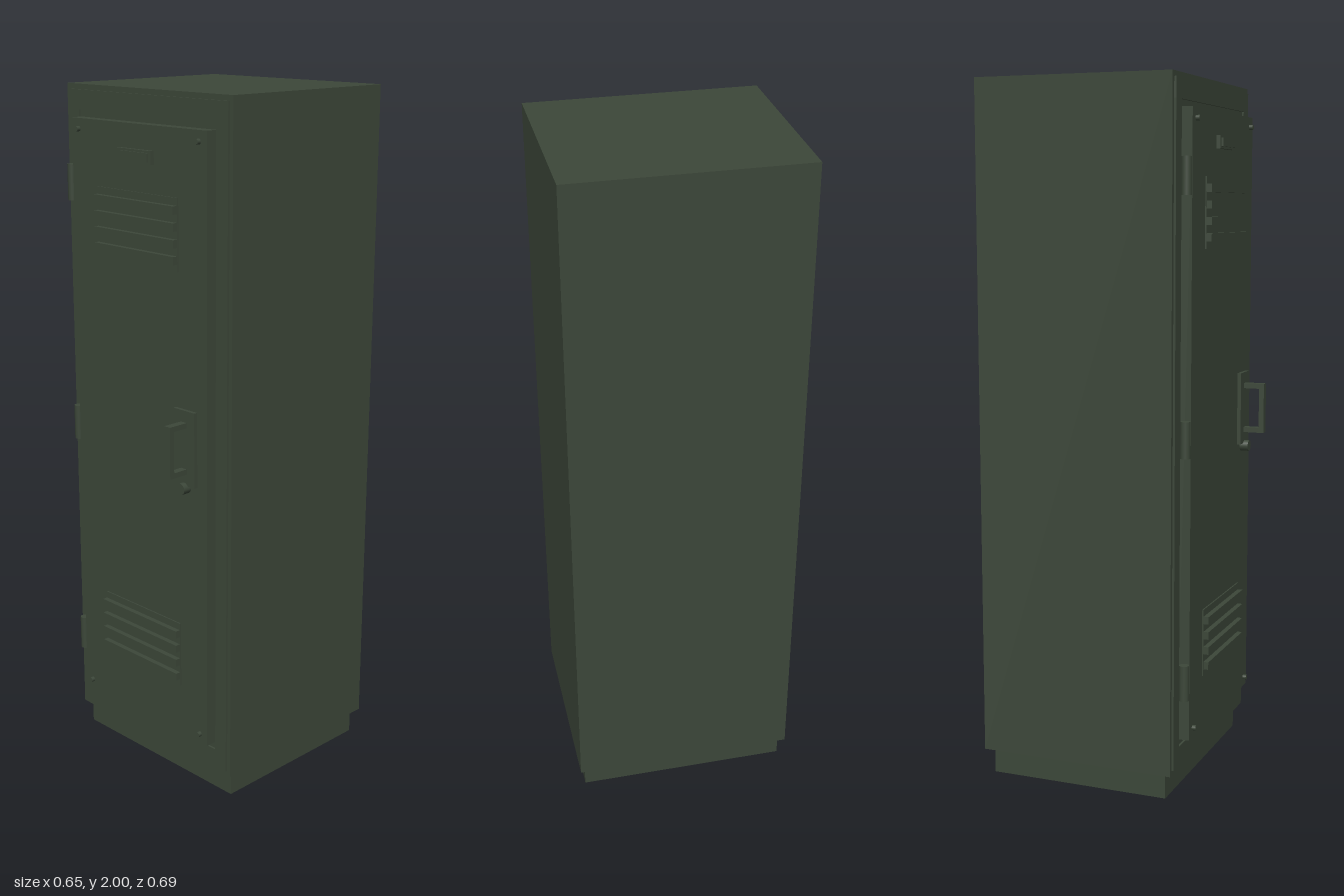
import * as THREE from 'three';

export function createModel() {
  const model = new THREE.Group();
  const paint = new THREE.MeshStandardMaterial({ color: 0x3c4739 });
  paint.name = 'dark green paint';

  const add = (name, geometry, x, y, z, parent = model) => {
    const mesh = new THREE.Mesh(geometry, paint);
    mesh.name = name;
    mesh.position.set(x, y, z);
    parent.add(mesh);
    return mesh;
  };
  // Box given by its limits on each axis
  const box = (name, x0, x1, y0, y1, z0, z1, parent) =>
    add(name, new THREE.BoxGeometry(x1 - x0, y1 - y0, z1 - z0),
      (x0 + x1) / 2, (y0 + y1) / 2, (z0 + z1) / 2, parent);
  // Short cylinder pointing forward
  const stud = (name, r, x, y, z0, z1, parent) =>
    add(name, new THREE.CylinderGeometry(r, r, z1 - z0, 12).rotateX(Math.PI / 2),
      x, y, (z0 + z1) / 2, parent);
  const group = (name) => {
    const g = new THREE.Group();
    g.name = name;
    model.add(g);
    return g;
  };

  // Cabinet and recessed plinth
  box('cabinet', -0.327, 0.327, 0.072, 2, -0.345, 0.235);
  box('plinth', -0.311, 0.311, 0, 0.072, -0.32, 0.215);

  // Raised frame around the door
  const frame = group('doorFrame');
  box('frameTop', -0.315, 0.315, 1.93, 1.985, 0.234, 0.241, frame);
  box('frameBottom', -0.315, 0.315, 0.087, 0.142, 0.234, 0.241, frame);
  for (const [name, x] of [['frameLeft', 0.2935], ['frameRight', -0.2935]]) {
    box(name, x - 0.0215, x + 0.0215, 0.142, 1.93, 0.234, 0.241, frame);
  }

  // Door with corner rivets
  const door = group('door');
  box('doorPanel', -0.268, 0.268, 0.163, 1.911, 0.234, 0.27, door);
  for (const x of [-0.239, 0.239]) {
    for (const y of [0.192, 1.882]) stud('rivet', 0.0075, x, y, 0.269, 0.281, door);
  }

  // Hinges on the right edge
  for (const y of [0.336, 1.022, 1.73]) {
    add('hinge', new THREE.CylinderGeometry(0.0145, 0.0145, 0.102, 10), -0.284, y, 0.26);
  }

  // Louvred vents
  for (const [name, y] of [['upperVent', 1.633], ['lowerVent', 0.417]]) {
    const vent = group(name);
    box('ventPlate', -0.161, 0.161, y - 0.098, y + 0.098, 0.269, 0.274, vent);
    for (let i = 0; i < 4; i++) {
      const sy = y + (i - 1.5) * 0.0445;
      box('slat', -0.16, 0.16, sy - 0.011, sy + 0.011, 0.273, 0.289, vent);
    }
  }

  // Label holder
  const label = group('labelHolder');
  box('labelPlate', -0.068, 0.068, 1.809, 1.845, 0.269, 0.281, label);
  box('labelFace', -0.057, 0.057, 1.815, 1.839, 0.28, 0.286, label);

  // Handle: back plate, pull and lock
  const handle = group('handle');
  box('handlePlate', 0.148, 0.23, 0.945, 1.16, 0.269, 0.281, handle);
  box('grip', 0.178, 0.2, 0.979, 1.127, 0.328, 0.343, handle);
  for (const y of [0.979, 1.112]) box('gripArm', 0.178, 0.2, y, y + 0.015, 0.28, 0.328, handle);
  stud('lock', 0.0165, 0.189, 0.937, 0.269, 0.296, handle);

  return model;
}
